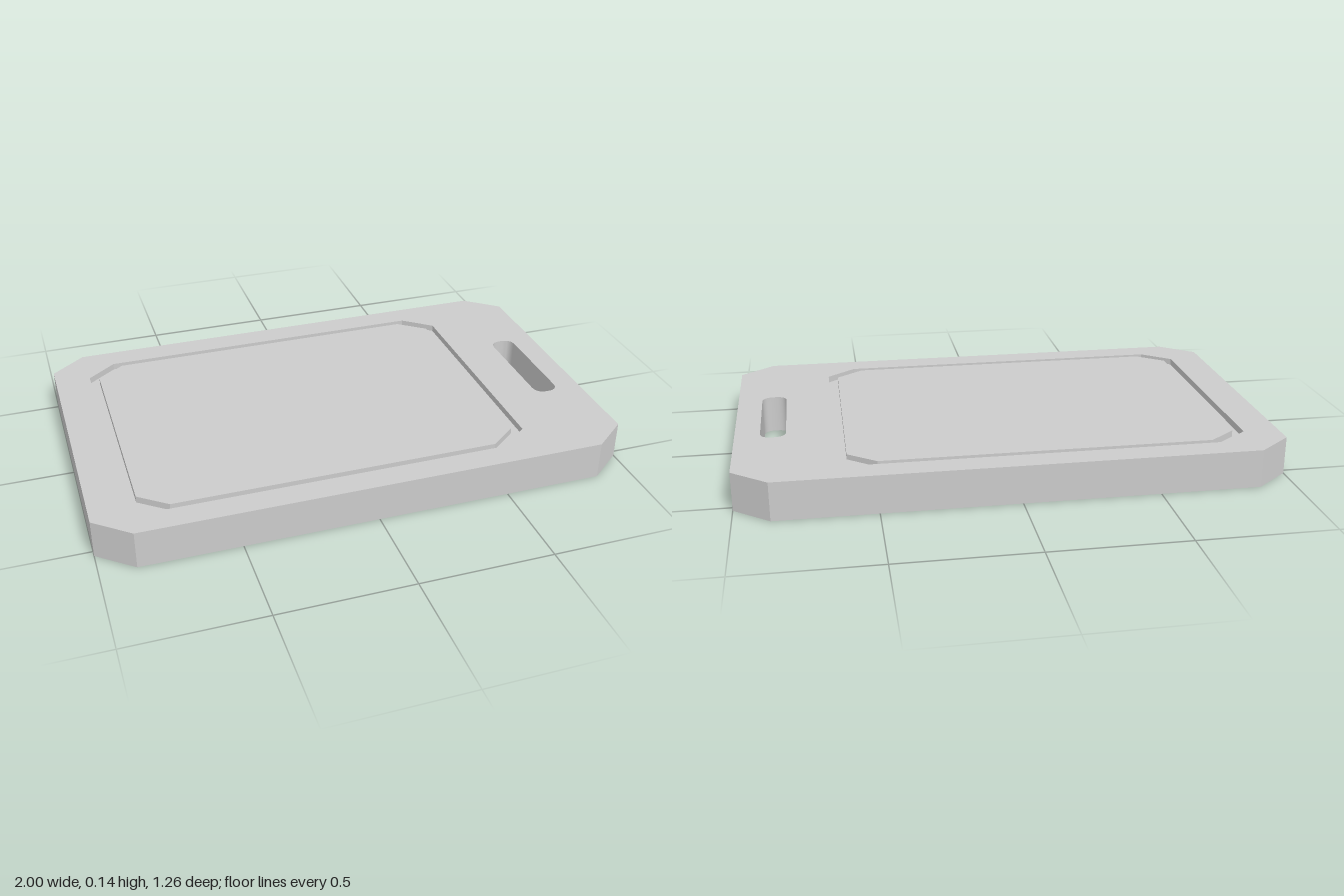
import * as THREE from 'three';
import { mergeGeometries, toCreasedNormals } from 'three/addons/utils/BufferGeometryUtils.js';

const HEIGHT = 0.143, GROOVE_FLOOR = 0.118;

// Rectangle with cut corners, counter-clockwise seen from above
function cutRect(x0, x1, z, cx, cz) {
  return [
    [x0 + cx, -z], [x1 - cx, -z], [x1, -z + cz], [x1, z - cz],
    [x1 - cx, z], [x0 + cx, z], [x0, z - cz], [x0, -z + cz],
  ].map(([x, y]) => new THREE.Vector2(x, y));
}

// Rectangle with rounded corners, counter-clockwise
function roundRect(x0, x1, z, r) {
  const s = new THREE.Shape();
  s.moveTo(x0 + r, -z);
  s.lineTo(x1 - r, -z).quadraticCurveTo(x1, -z, x1, -z + r);
  s.lineTo(x1, z - r).quadraticCurveTo(x1, z, x1 - r, z);
  s.lineTo(x0 + r, z).quadraticCurveTo(x0, z, x0, z - r);
  s.lineTo(x0, -z + r).quadraticCurveTo(x0, -z, x0 + r, -z);
  return s.getPoints(8).slice(0, -1);
}

// Flat horizontal face with holes, facing up or down
function cap(outline, holes, y, up = true) {
  const shape = new THREE.Shape(outline);
  shape.holes = holes.map((h) => new THREE.Path(h));
  const g = new THREE.ShapeGeometry(shape).toNonIndexed();
  g.rotateX(up ? -Math.PI / 2 : Math.PI / 2).translate(0, y, 0);
  g.deleteAttribute('uv');
  return g;
}

// Vertical wall along an outline, facing outward, or inward for a hole
function wall(outline, y0, y1, inward = false) {
  const pts = inward ? [...outline].reverse() : outline;
  const pos = [];
  pts.forEach((p, i) => {
    const q = pts[(i + 1) % pts.length];
    const a = [p.x, y0, -p.y], b = [q.x, y0, -q.y];
    const c = [q.x, y1, -q.y], d = [p.x, y1, -p.y];
    pos.push(...a, ...b, ...c, ...a, ...c, ...d);
  });
  const g = new THREE.BufferGeometry();
  g.setAttribute('position', new THREE.Float32BufferAttribute(pos, 3));
  return toCreasedNormals(g, 0.6);
}

export function createModel() {
  const group = new THREE.Group();
  group.name = 'cuttingBoard';
  const material = new THREE.MeshStandardMaterial({ color: 0xcccccc });
  const add = (name, ...parts) => {
    const mesh = new THREE.Mesh(mergeGeometries(parts), material);
    mesh.name = name;
    group.add(mesh);
  };

  const edge = cutRect(-1, 1, 0.63, 0.13, 0.105);
  const grooveOuter = cutRect(-0.865, 0.638, 0.531, 0.11, 0.088);
  const grooveInner = cutRect(-0.828, 0.6, 0.506, 0.104, 0.08);
  const slot = roundRect(0.812, 0.907, 0.22, 0.045);

  // Board body: outer edge, underside and top rim
  add('board',
    wall(edge, 0, HEIGHT),
    cap(edge, [slot], 0, false),
    cap(edge, [grooveOuter, slot], HEIGHT));

  // Juice groove: two walls and a floor
  add('juiceGroove',
    wall(grooveOuter, GROOVE_FLOOR, HEIGHT, true),
    wall(grooveInner, GROOVE_FLOOR, HEIGHT),
    cap(grooveOuter, [grooveInner], GROOVE_FLOOR));

  // Cutting surface inside the groove
  add('cuttingSurface', cap(grooveInner, [], HEIGHT));

  // Handle slot through the board
  add('handleSlot', wall(slot, 0, HEIGHT, true));

  return group;
}
